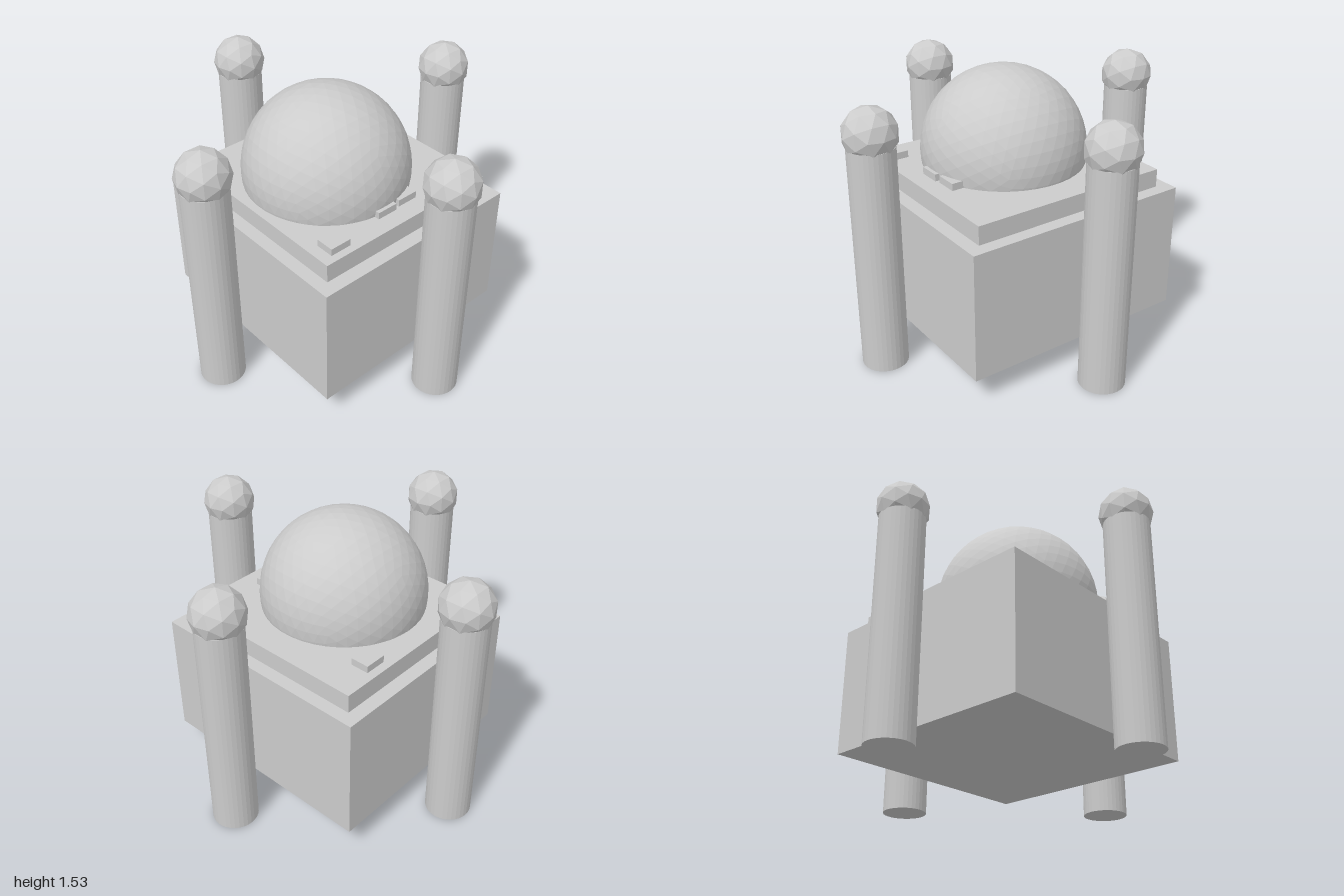
import * as THREE from 'three';

export function createModel() {
  const model = new THREE.Group();
  const material = new THREE.MeshStandardMaterial({ color: 0xcccccc, flatShading: true });

  const add = (parent, name, geometry, x, y, z) => {
    const mesh = new THREE.Mesh(geometry, material);
    mesh.name = name;
    mesh.position.set(x, y, z);
    parent.add(mesh);
    return mesh;
  };

  // Box standing on height y
  const addBlock = (name, w, h, d, x, y, z) =>
    add(model, name, new THREE.BoxGeometry(w, h, d), x, y + h / 2, z);

  // Faceted ball
  const ball = (radius, detail) =>
    new THREE.IcosahedronGeometry(radius, detail).rotateX(Math.PI / 2);

  // Main hall and roof slab
  addBlock('hall', 1.34, 0.73, 1.29, 0, 0.155, 0);
  addBlock('roofSlab', 1.18, 0.105, 1.14, 0, 0.885, 0);

  // Dome, sunk into the roof
  add(model, 'dome', ball(0.47, 7), 0, 1.06, 0.06);

  // Small roof blocks, some partly under the dome
  const roofBlocks = [[-0.487, -0.307], [0.493, 0.44], [0.425, -0.093], [0.435, 0.062], [0.328, 0.257]];
  for (const [x, z] of roofBlocks) addBlock('roofBlock', 0.107, 0.04, 0.127, x, 0.99, z);

  // Four free-standing towers with ball caps
  const shaft = new THREE.CylinderGeometry(0.128, 0.128, 1.28, 32);
  const cap = ball(0.149, 1);
  const towers = { front: [0, 1], back: [0, -1], left: [1, 0], right: [-1, 0] };
  for (const [side, [x, z]] of Object.entries(towers)) {
    const tower = new THREE.Group();
    tower.name = side + 'Tower';
    tower.position.set(x * 0.851, 0, z * 0.851);
    add(tower, 'towerShaft', shaft, 0, 0.64, 0);
    add(tower, 'towerCap', cap, 0, 1.345, 0);
    model.add(tower);
  }

  return model;
}
